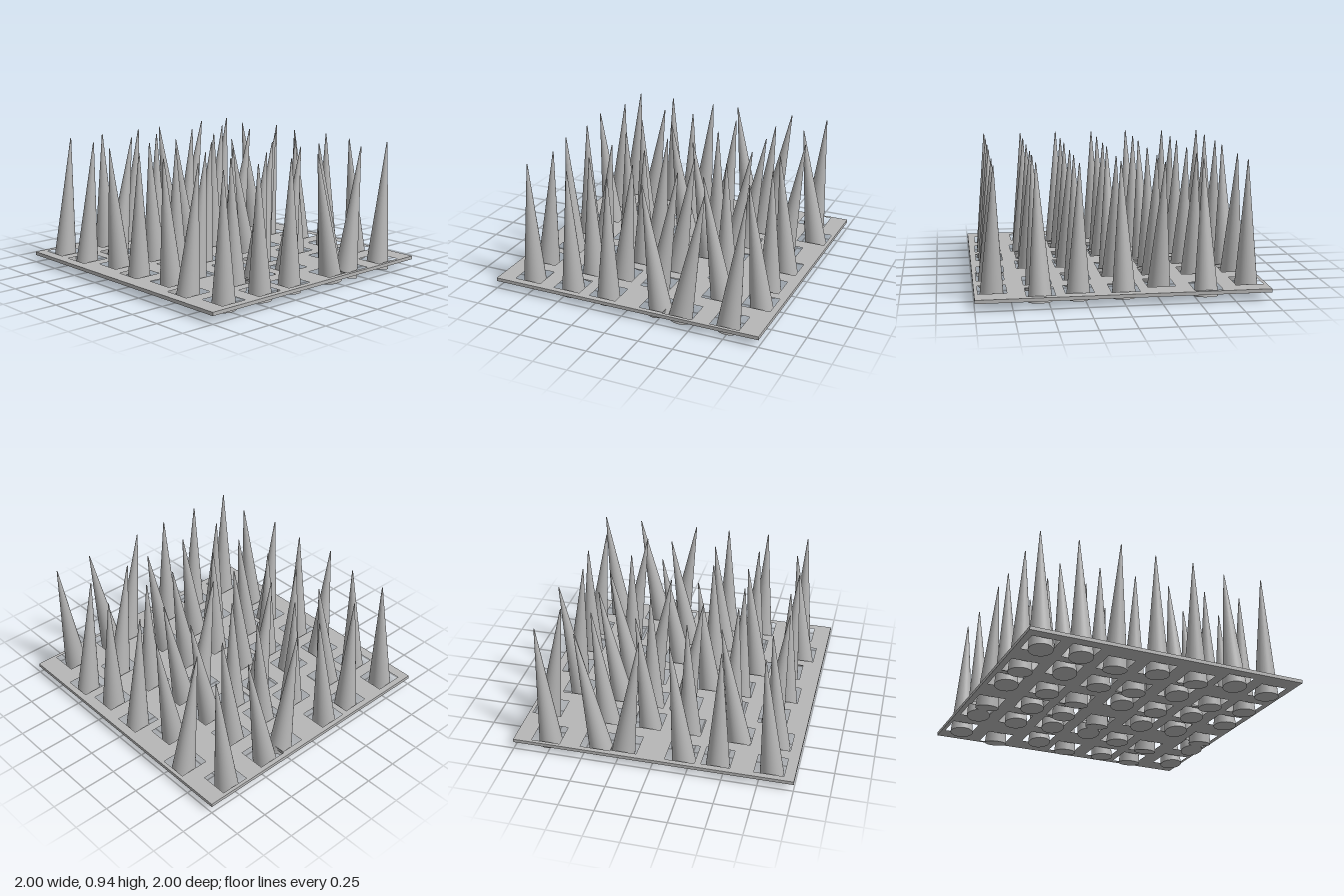
import * as THREE from 'three';

// One row per line, one spike per triple: base x, base z, tip z (hundredths of a unit)
const ROWS = [
  [-88, -76, -83, -57, -88, -74, -27, -72, -85, -1, -84, -76, 30, -82, -81, 56, -86, -75, 88, -74, -84],
  [-87, -39, -55, -57, -42, -52, -29, -39, -55, 0, -39, -55, 28, -48, -47, 56, -57, -42, 88, -39, -55],
  [-86, -23, -10, -56, -11, -20, -30, -16, -17, 0, -24, -9, 30, -9, -23, 58, -8, -23, 87, -24, -10],
  [-87, 21, 11, -56, 18, 16, -30, 8, 21, 0, 21, 11, 28, 18, 16, 56, 21, 11, 86, 17, 16],
  [-86, 45, 46, -58, 55, 40, -28, 43, 46, -2, 44, 45, 28, 52, 42, 59, 43, 45, 86, 45, 47],
  [-86, 83, 75, -58, 83, 75, -30, 74, 82, -1, 79, 78, 30, 75, 80, 56, 83, 74, 85, 77, 78],
];
const BASE_Y = 0.016, TIP_Y = 0.94, RADIUS = 0.083;
const PLATE_Y = 0.056, PLATE_THICKNESS = 0.025;

// Rectangle points in plan; z is negated because the plate is extruded and then laid flat
function trace(path, x0, z0, x1, z1) {
  path.moveTo(x0, -z0);
  path.lineTo(x1, -z0);
  path.lineTo(x1, -z1);
  path.lineTo(x0, -z1);
  path.closePath();
  return path;
}

function makeSpike(base, tip, material) {
  const axis = tip.clone().sub(base);
  const geometry = new THREE.CylinderGeometry(0.003, RADIUS, axis.length(), 32);
  const spike = new THREE.Mesh(geometry, material);
  spike.position.copy(base).add(tip).multiplyScalar(0.5);
  spike.quaternion.setFromUnitVectors(new THREE.Vector3(0, 1, 0), axis.normalize());
  spike.name = 'spike';
  return spike;
}

export function createModel() {
  const model = new THREE.Group();
  model.name = 'spikeTrap';
  const grey = new THREE.MeshStandardMaterial({ color: 0xb6b6b6 });
  grey.name = 'grey metal';

  const spikes = new THREE.Group();
  spikes.name = 'spikes';
  const outline = trace(new THREE.Shape(), -1, -1, 1, 1);
  const holeEnd = new Array(7).fill(-0.99); // back-to-front end of the last hole in each column

  for (const row of ROWS) {
    for (let c = 0; c < 7; c++) {
      const [bx, bz, tz] = row.slice(c * 3, c * 3 + 3).map((v) => v / 100);
      const base = new THREE.Vector3(bx, BASE_Y, bz);
      const tip = new THREE.Vector3((c - 3) * 0.2857, TIP_Y, tz);
      spikes.add(makeSpike(base, tip, grey));

      // Slot around the spike, longer where the spike leans more
      const x = bx + (tip.x - bx) * 0.1;
      const z = bz + (tz - bz) * 0.1;
      const half = 0.1 + Math.abs(tz - bz) * 0.05;
      const z0 = Math.max(z - half, holeEnd[c] + 0.004);
      outline.holes.push(trace(new THREE.Path(), x - 0.097, z0, x + 0.097, z + half));
      holeEnd[c] = z + half;
    }
  }
  model.add(spikes);

  // Thin slotted plate
  const plateGeometry = new THREE.ExtrudeGeometry(outline, { depth: PLATE_THICKNESS, bevelEnabled: false });
  plateGeometry.rotateX(-Math.PI / 2);
  const plate = new THREE.Mesh(plateGeometry, grey);
  plate.position.y = PLATE_Y;
  plate.name = 'slottedPlate';
  model.add(plate);
  return model;
}
